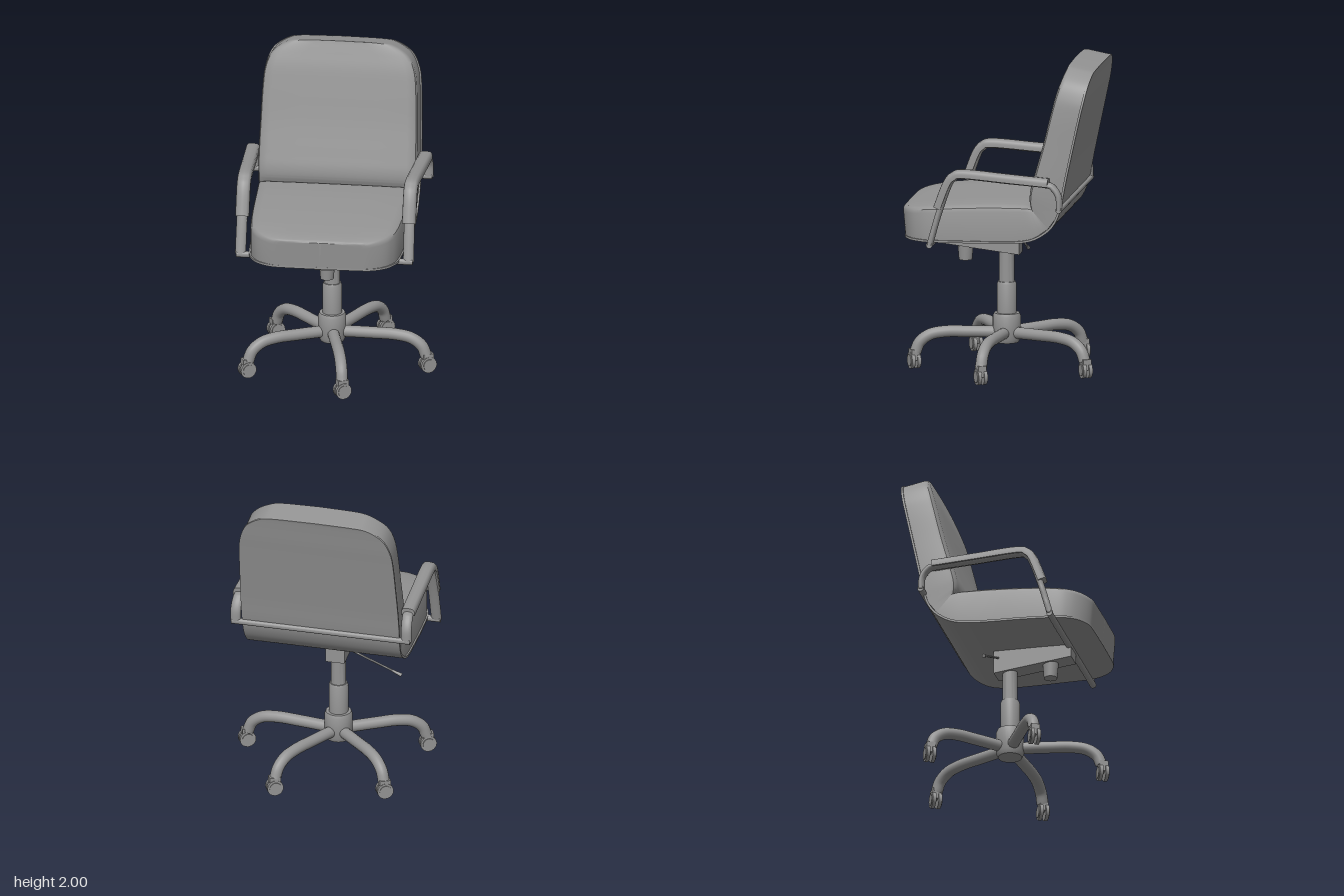
import * as THREE from 'three';
import { toCreasedNormals } from 'three/addons/utils/BufferGeometryUtils.js';

const CX = -0.045; // chair centre line
const mat = new THREE.MeshStandardMaterial({ color: 0x949494 });
const V = (x, y, z) => new THREE.Vector3(x, y, z);

function add(parent, name, geo, crease = 0.6) {
  const mesh = new THREE.Mesh(crease ? toCreasedNormals(geo, crease) : geo, mat);
  mesh.name = name;
  parent.add(mesh);
  return mesh;
}

// Straight round bar between two points
function rod(parent, name, a, b, r, r2 = r) {
  const d = b.clone().sub(a);
  const mesh = add(parent, name, new THREE.CylinderGeometry(r2, r, d.length(), 20));
  mesh.position.copy(a).add(b).multiplyScalar(0.5);
  mesh.quaternion.setFromUnitVectors(V(0, 1, 0), d.normalize());
  return mesh;
}

// Cross-sections [across, base-to-face], left to right over the face
const mirrored = half => [...half.map(([u, v]) => [-u, v]), [0, 1], ...half.slice().reverse()];
const SOFT = mirrored([[1, 0], [1, 0.8], [0.985, 0.9], [0.95, 0.955], [0.88, 0.985], [0.5, 0.997]]);
const PAD = mirrored([[1, 0], [1, 0.45], [0.9, 0.75], [0.65, 0.93]]);
const FLAT = [[-1, 0], [-1, 1], [1, 1], [1, 0]];
const OVAL = Array.from({ length: 16 }, (_, i) => {
  const a = i * Math.PI / 8;
  return [-Math.cos(a), 0.5 + 0.5 * Math.sin(a)];
});

// Closed solid through rows of [base z, base y, face z, face y, half width, centre x]
function loft(rows, section, steps) {
  const curve = f => new THREE.CatmullRomCurve3(rows.map(f), false, 'catmullrom', 0.5);
  const base = curve(r => V(r[5] ?? CX, r[1], r[0]));
  const face = curve(r => V(r[4], r[3], r[2]));
  const pos = [], idx = [], m = section.length;
  for (let i = 0; i <= steps; i++) {
    const b = base.getPoint(i / steps), f = face.getPoint(i / steps);
    for (const [u, v] of section)
      pos.push(b.x + u * f.x, b.y + (f.y - b.y) * v, b.z + (f.z - b.z) * v);
  }
  for (let i = 0; i < steps; i++)
    for (let j = 0; j < m; j++) {
      const a = i * m + j, b = i * m + (j + 1) % m;
      idx.push(a, b, a + m, b, b + m, a + m);
    }
  const e = steps * m;
  for (let j = 1; j < m - 1; j++) idx.push(0, j + 1, j, e, e + j, e + j + 1);
  const geo = new THREE.BufferGeometry();
  geo.setAttribute('position', new THREE.Float32BufferAttribute(pos, 3));
  geo.setIndex(idx);
  return geo;
}

// Unit normal (z, y) at row i of a side profile, on the side the sitter faces
function normal(pts, i) {
  const a = pts[Math.max(i - 1, 0)], b = pts[Math.min(i + 1, pts.length - 1)];
  const dz = b[0] - a[0], dy = b[1] - a[1], l = Math.hypot(dz, dy);
  return [dy / l, -dz / l];
}

// Rows offset to both sides of an arm path of [z, y, distance from centre line]
const armRows = (path, s, below, above, w) => path.map(([z, y, x], i) => {
  const [nz, ny] = normal(path, i);
  return [z - nz * below, y - ny * below, z + nz * above, y + ny * above, w, CX + s * x];
});

const SEAT = [
  [0.6, 0.885, 0.614, 1.053, 0.004],
  [0.597, 0.885, 0.611, 1.055, 0.23], [0.588, 0.885, 0.602, 1.065, 0.31],
  [0.55, 0.885, 0.56, 1.077, 0.385], [0.49, 0.885, 0.5, 1.087, 0.435],
  [0.4, 0.885, 0.4, 1.1, 0.465], [0.2, 0.89, 0.2, 1.117, 0.48],
  [0, 0.893, 0, 1.128, 0.487], [-0.15, 0.9, -0.13, 1.13, 0.492],
  [-0.26, 0.925, -0.2, 1.128, 0.495], [-0.35, 0.985, -0.24, 1.115, 0.495],
];
const BACK = [
  [-0.35, 0.985, -0.235, 1.115, 0.495], [-0.4, 1.06, -0.222, 1.16, 0.497],
  [-0.428, 1.16, -0.226, 1.22, 0.5], [-0.455, 1.3, -0.25, 1.31, 0.5],
  [-0.497, 1.5, -0.303, 1.5, 0.495], [-0.54, 1.7, -0.352, 1.7, 0.488],
  [-0.562, 1.8, -0.385, 1.83, 0.473], [-0.58, 1.89, -0.415, 1.92, 0.43],
  [-0.593, 1.95, -0.436, 1.98, 0.34], [-0.598, 1.966, -0.441, 1.996, 0.25],
  [-0.599, 1.97, -0.442, 2, 0.004],
];
const ARM = [
  [0.395, 0.87, 0.53], [0.335, 1.08, 0.528], [0.275, 1.25, 0.526], [0.24, 1.295, 0.526],
  [0.18, 1.312, 0.527], [-0.1, 1.293, 0.536], [-0.34, 1.277, 0.545],
  [-0.395, 1.255, 0.549], [-0.428, 1.2, 0.552], [-0.432, 1.12, 0.553],
];
const COVER = [[0.332, 1.1, 0.526], ...ARM.slice(2, 6), [-0.36, 1.275, 0.545]];

export function createModel() {
  const chair = new THREE.Group();
  chair.name = 'officeChair';

  // Upholstery and the bent shell behind it
  add(chair, 'seatCushion', loft(SEAT, SOFT, 60));
  add(chair, 'backCushion', loft(BACK, SOFT, 60));
  const path = [...SEAT, ...BACK.slice(1)];
  const shell = path.map((p, i) => {
    const [nz, ny] = normal(path, i);
    return [p[0] - nz * 0.014, p[1] - ny * 0.014, p[0], p[1], p[4] + 0.01];
  });
  add(chair, 'seatShell', loft(shell, FLAT, 120));

  // Oval arm frames with pads, joined by cross bars
  for (const s of [-1, 1]) {
    const g = new THREE.Group();
    g.name = s > 0 ? 'leftArm' : 'rightArm';
    chair.add(g);
    add(g, 'armTube', loft(armRows(ARM, s, 0.02, 0.02, 0.034), OVAL, 72), 0.8);
    add(g, 'armPad', loft(armRows(COVER, s, 0.008, 0.042, 0.043), PAD, 40), 0.7);
  }
  rod(chair, 'frontCrossBar', V(CX - 0.557, 0.868, 0.395), V(CX + 0.557, 0.868, 0.395), 0.02);
  rod(chair, 'rearCrossBar', V(CX - 0.578, 1.122, -0.432), V(CX + 0.578, 1.122, -0.432), 0.02);

  // Tilt mechanism: wedge housing, tension knob, height lever
  const wedge = new THREE.Shape([[-0.41, 0.88], [-0.41, 0.79], [0.09, 0.73], [0.09, 0.88]]
    .map(([x, y]) => new THREE.Vector2(x, y)));
  const housing = add(chair, 'tiltHousing',
    new THREE.ExtrudeGeometry(wedge, { depth: 0.124, bevelEnabled: false }));
  housing.rotation.y = Math.PI / 2;
  housing.position.x = CX - 0.062;
  rod(chair, 'tensionKnob', V(CX, 0.68, 0.262), V(CX, 0.82, 0.262), 0.042, 0.054);
  rod(chair, 'heightLever', V(CX - 0.04, 0.84, -0.062), V(-0.46, 0.688, -0.062), 0.007);
  rod(chair, 'leverTip', V(-0.41, 0.708, -0.062), V(-0.47, 0.683, -0.062), 0.008, 0.012);

  // Hub and gas column
  const profile = [[0, 0.163], [0.075, 0.163], [0.088, 0.19], [0.088, 0.33], [0.08, 0.35], [0.061, 0.35],
    [0.061, 0.535], [0.055, 0.55], [0.048, 0.55], [0.048, 0.8]];
  const column = add(chair, 'hubAndColumn',
    new THREE.LatheGeometry(profile.map(([x, y]) => new THREE.Vector2(x, y)), 32));
  column.position.x = CX;

  // Five curved legs, each on a twin-wheel caster
  const feet = [[0.563, 0.057], [0.088, 0.565], [-0.547, 0.285], [-0.452, -0.415], [0.225, -0.55]];
  for (const [x, z] of feet) {
    const L = Math.hypot(x - CX, z), ux = (x - CX) / L, uz = z / L;
    const at = (r, y) => V(CX + ux * r, y, uz * r);
    const curve = new THREE.CatmullRomCurve3([at(0.03, 0.226), at(0.25, 0.232), at(L - 0.2, 0.233),
      at(L - 0.1, 0.215), at(L - 0.035, 0.168), at(L - 0.008, 0.105)]);
    add(chair, 'baseLeg', new THREE.TubeGeometry(curve, 40, 0.037, 16), 0);

    const caster = new THREE.Group();
    caster.name = 'caster';
    caster.position.set(x, 0, z);
    caster.rotation.y = 0.51;
    chair.add(caster);
    for (const s of [-1, 1]) {
      rod(caster, 'wheel', V(0, 0.052, s * 0.008), V(0, 0.052, s * 0.03), 0.052);
      rod(caster, 'wheelCap', V(0, 0.052, s * 0.028), V(0, 0.052, s * 0.035), 0.038);
    }
    const body = add(caster, 'casterBody', new THREE.BoxGeometry(0.07, 0.07, 0.054));
    body.position.y = 0.088;
  }
  return chair;
}
